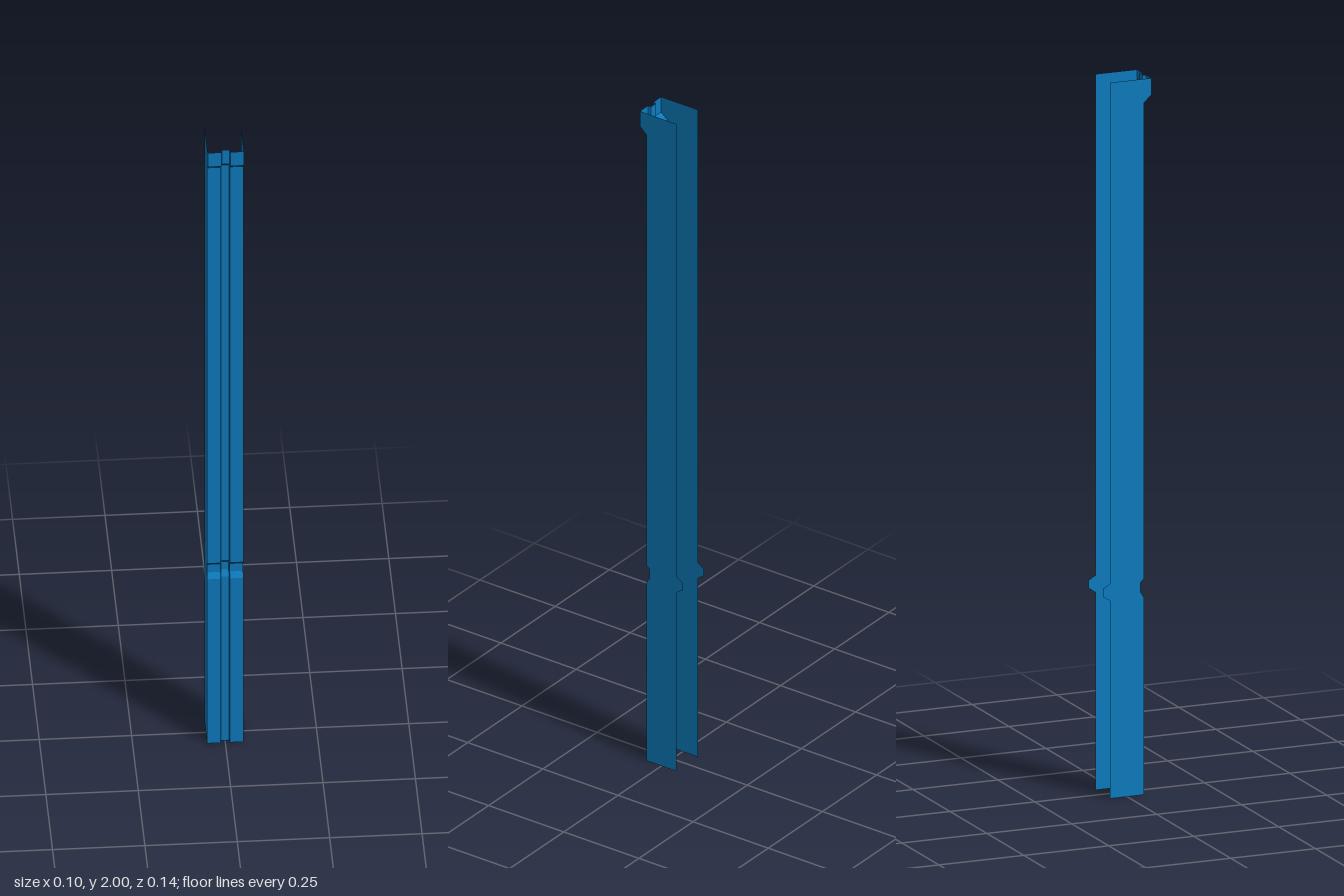
import * as THREE from 'three';

const HALF = 0.049;
// Front edge profile, bottom to top, as [z, y]
const FRONT = [[0.05, 0], [0.05, 0.551], [0.04, 0.567], [0.04, 0.594], [0.05, 0.604],
  [0.05, 1.934], [0.072, 1.953], [0.072, 2]];
// Back edge profile with its small lug, top to bottom
const BACK = [[-0.05, 2], [-0.05, 0.6], [-0.071, 0.588], [-0.071, 0.566], [-0.05, 0.552], [-0.05, 0]];
// Cross-section of the grooved face, as [x, depth]
const SECTION = [[-HALF, 0], [-0.0125, 0], [-0.0105, 0.01], [0.0105, 0.01], [0.0125, 0], [HALF, 0]];

// Sweeps the cross-section along the front profile
function groovedFace() {
  const pos = [];
  const point = (i, j) => [SECTION[i][0], FRONT[j][1], FRONT[j][0] - SECTION[i][1]];
  for (let j = 0; j < FRONT.length - 1; j++) {
    for (let i = 0; i < SECTION.length - 1; i++) {
      const a = point(i, j), b = point(i + 1, j), c = point(i + 1, j + 1), d = point(i, j + 1);
      pos.push(...a, ...b, ...c, ...a, ...c, ...d);
    }
  }
  const geo = new THREE.BufferGeometry();
  geo.setAttribute('position', new THREE.Float32BufferAttribute(pos, 3));
  geo.computeVertexNormals();
  return geo;
}

export function createModel() {
  const group = new THREE.Group();
  group.name = 'channelPost';
  const material = new THREE.MeshStandardMaterial({ color: 0x0d7bbd, flatShading: true, side: THREE.DoubleSide });

  const add = (name, geometry) => {
    const mesh = new THREE.Mesh(geometry, material);
    mesh.name = name;
    group.add(mesh);
    return mesh;
  };

  // Front sheet with the central groove, the notch and the flared head
  add('groovedFrontFace', groovedFace());

  // Thin side walls; the back and both ends of the channel stay open
  const outline = new THREE.Shape([...FRONT, ...BACK].map(([z, y]) => new THREE.Vector2(z, y)));
  for (const [name, side] of [['leftWall', 1], ['rightWall', -1]]) {
    const wall = new THREE.ShapeGeometry(outline);
    wall.rotateY(-Math.PI / 2);
    // Turn the left wall's faces outward
    if (side > 0) {
      const index = wall.index.array;
      for (let i = 0; i < index.length; i += 3) [index[i], index[i + 1]] = [index[i + 1], index[i]];
      wall.computeVertexNormals();
    }
    wall.translate(side * HALF, 0, 0);
    add(name, wall);
  }
  return group;
}
